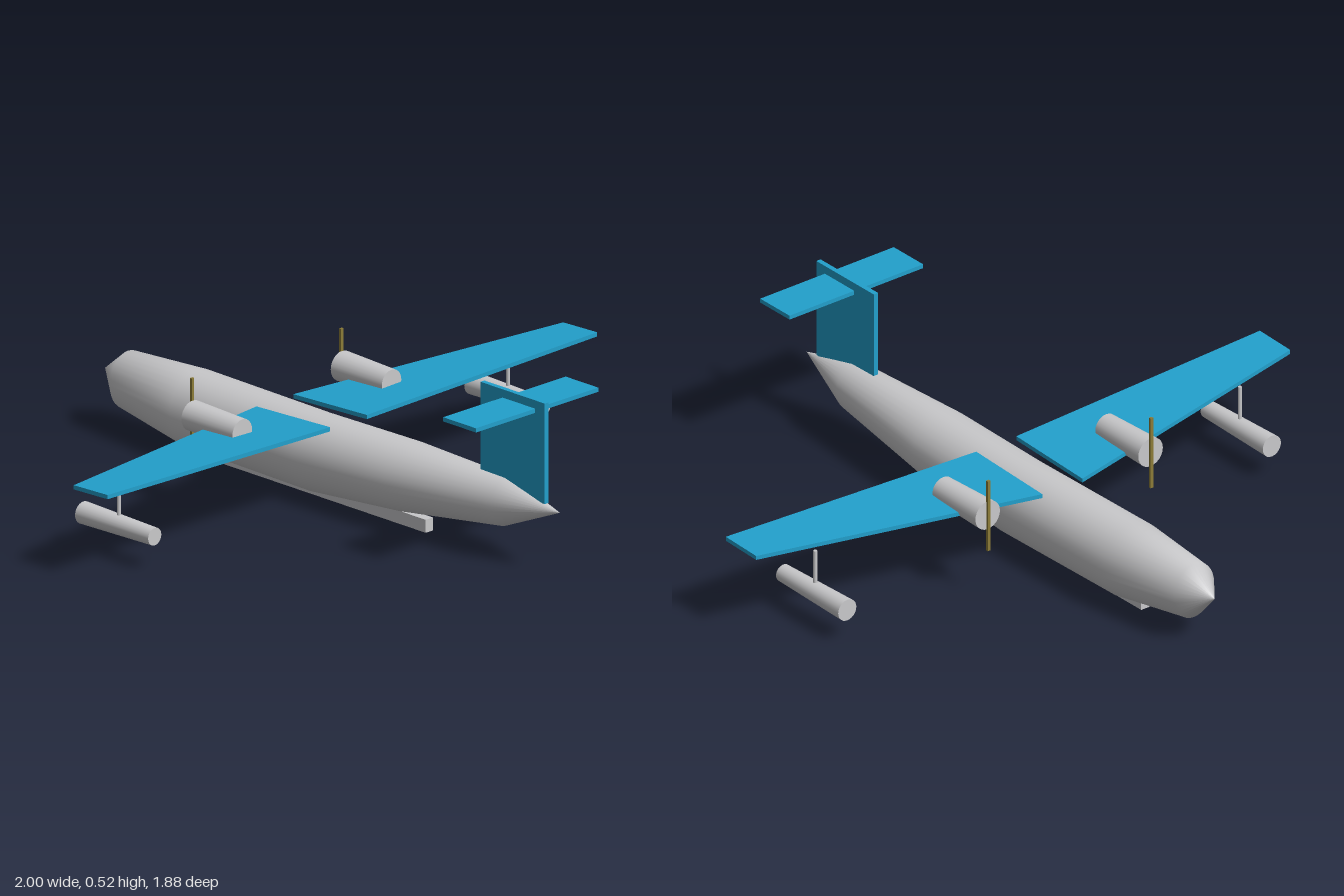
import * as THREE from 'three';

const grey = new THREE.MeshStandardMaterial({ name: 'light grey', color: 0xc9c9cb });
const blue = new THREE.MeshStandardMaterial({ name: 'blue', color: 0x22a0cc });
const olive = new THREE.MeshStandardMaterial({ name: 'olive', color: 0x8c7c38 });

function part(group, name, geometry, material, x = 0, y = 0, z = 0) {
  const mesh = new THREE.Mesh(geometry, material);
  mesh.name = name;
  mesh.position.set(x, y, z);
  group.add(mesh);
  return mesh;
}

// Hull lofted through elliptical sections: [z, bottom, top, half width]
function hullGeometry() {
  const sections = [
    [-0.94, 0.165, 0.165, 0], [-0.845, 0.066, 0.242, 0.075], [-0.56, 0.02, 0.255, 0.113],
    [-0.05, 0.013, 0.25, 0.113], [0.32, 0.045, 0.256, 0.108], [0.72, 0.1, 0.25, 0.067],
    [0.94, 0.195, 0.195, 0],
  ];
  const n = 32, pos = [], idx = [];
  for (const [z, lo, hi, w] of sections) {
    for (let i = 0; i < n; i++) {
      const a = (i / n) * Math.PI * 2;
      pos.push(Math.cos(a) * w, (lo + hi) / 2 + Math.sin(a) * (hi - lo) / 2, z);
    }
  }
  for (let r = 0; r < sections.length - 1; r++) {
    for (let i = 0; i < n; i++) {
      const a = r * n + i, b = r * n + (i + 1) % n, c = a + n, d = b + n;
      if (r > 0) idx.push(a, b, c);
      if (r < sections.length - 2) idx.push(b, d, c);
      if (r === 0) idx.push(a, d, c);
      if (r === sections.length - 2) idx.push(a, b, d);
    }
  }
  // Drop the doubled faces at the pointed tail
  const tail = (sections.length - 2) * n;
  const faces = [];
  for (let i = 0; i < idx.length; i += 3) {
    const f = idx.slice(i, i + 3);
    const doubled = f[0] >= tail && f[1] >= tail && f[2] >= tail + n && f[2] === f[0] + n;
    if (!doubled) faces.push(...f);
  }
  const g = new THREE.BufferGeometry();
  g.setAttribute('position', new THREE.Float32BufferAttribute(pos, 3));
  g.setIndex(faces);
  g.computeVertexNormals();
  return g;
}

// Tapered wing slab with dihedral and a slightly lowered leading edge
function wingGeometry(side) {
  const g = new THREE.BoxGeometry(1, 1, 1);
  const p = g.attributes.position;
  for (let i = 0; i < p.count; i++) {
    const tip = p.getX(i) * side > 0, aft = p.getZ(i) > 0, top = p.getY(i) > 0;
    const z = aft ? (tip ? 0.082 : 0.066) : (tip ? -0.058 : -0.238);
    const base = tip ? (aft ? 0.27 : 0.265) : (aft ? 0.243 : 0.23);
    p.setXYZ(i, side * (tip ? 1 : 0.075), base + (top ? 0.013 : 0), z);
  }
  g.computeVertexNormals();
  return g;
}

// Cylinder lying along z, given its rear and front radii
function barrel(rear, front, length) {
  return new THREE.CylinderGeometry(rear, front, length, 24).rotateX(Math.PI / 2);
}

export function createModel() {
  const model = new THREE.Group();
  model.name = 'flyingBoat';

  part(model, 'hull', hullGeometry(), grey);
  part(model, 'keel', new THREE.BoxGeometry(0.03, 0.04, 1.02), grey, 0, 0.02, -0.11);

  // T-shaped tail
  part(model, 'fin', new THREE.BoxGeometry(0.016, 0.31, 0.265), blue, 0, 0.365, 0.7525);
  part(model, 'tailplane', new THREE.BoxGeometry(0.5, 0.013, 0.135), blue, 0, 0.488, 0.778);

  // Wings with engines and floats on each side
  for (const side of [1, -1]) {
    const label = side > 0 ? 'left' : 'right';
    part(model, label + 'Wing', wingGeometry(side), blue);

    const engine = new THREE.Group();
    engine.name = label + 'Engine';
    part(engine, 'nacelle', barrel(0.04, 0.046, 0.205), grey, 0, 0, 0);
    part(engine, 'propeller', new THREE.BoxGeometry(0.01, 0.23, 0.008), olive, 0, 0, -0.105);
    engine.position.set(side * 0.305, 0.265, -0.167);
    model.add(engine);

    const float = new THREE.Group();
    float.name = label + 'Float';
    part(float, 'floatBody', barrel(0.027, 0.034, 0.295), grey);
    part(float, 'floatStrut', new THREE.CylinderGeometry(0.006, 0.006, 0.135, 12), grey, 0, 0.0675, 0);
    float.position.set(side * 0.795, 0.1, -0.078);
    model.add(float);
  }
  return model;
}
